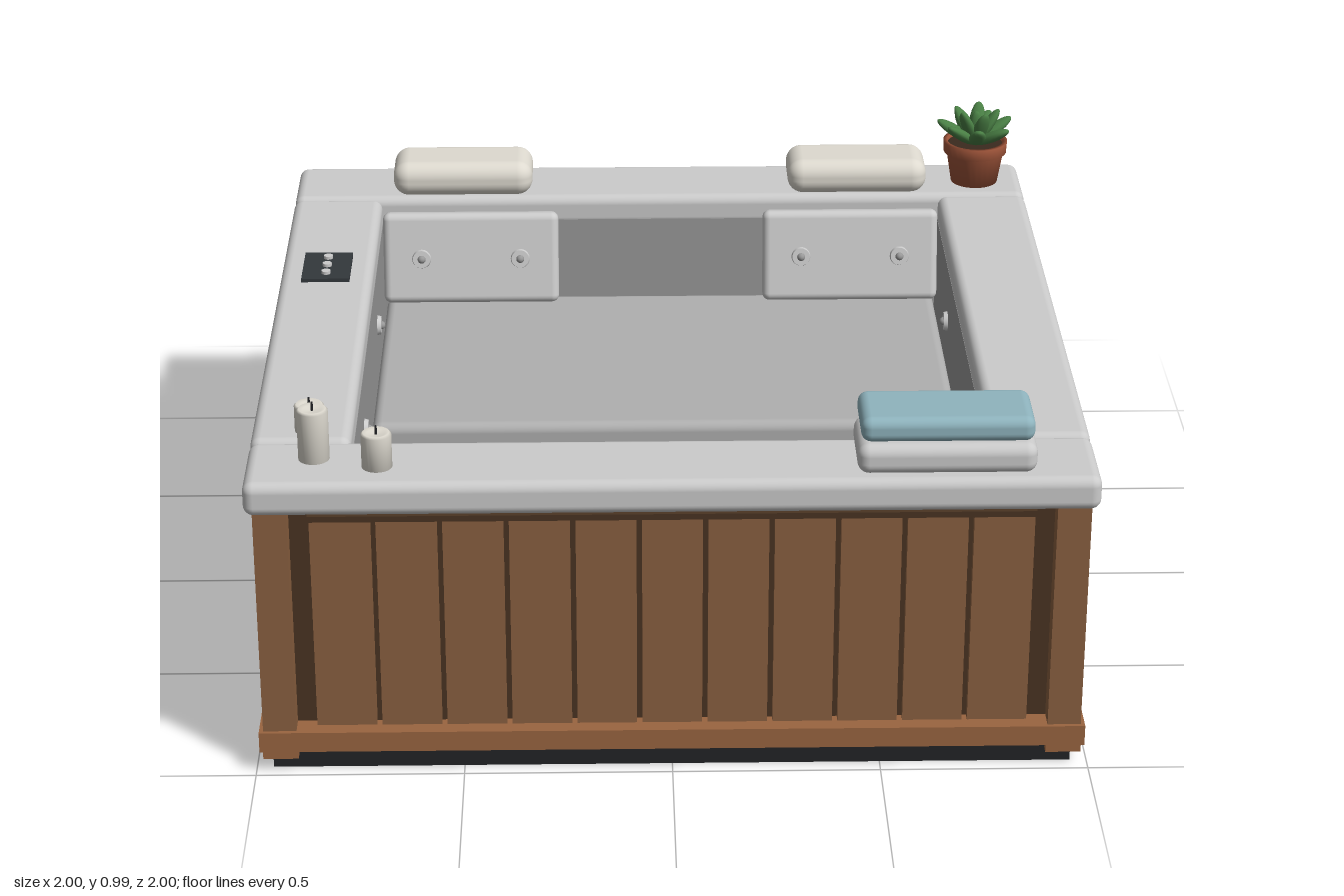
import * as THREE from 'three';
import { RoundedBoxGeometry } from 'three/addons/geometries/RoundedBoxGeometry.js';

const mat = (color) => new THREE.MeshStandardMaterial({ color });
const M = {
  acrylic: mat(0xcccccc), shell: mat(0x999999), floor: mat(0x777777), seat: mat(0xb0b0b0),
  wood: mat(0x8a6040), darkWood: mat(0x4a3422), trim: mat(0x9a6540), black: mat(0x222326),
  panel: mat(0x33383c), cream: mat(0xdedad0), towel: mat(0x8fb4be), clay: mat(0xa0553a),
  soil: mat(0x3a2a1e), leaf: mat(0x4a8045),
};

function add(parent, name, geometry, material, x = 0, y = 0, z = 0) {
  const mesh = new THREE.Mesh(geometry, material);
  mesh.name = name;
  mesh.position.set(x, y, z);
  parent.add(mesh);
  return mesh;
}
const box = (w, h, d) => new THREE.BoxGeometry(w, h, d);
const rbox = (w, h, d, r, s = 4) => new RoundedBoxGeometry(w, h, d, s, r);

function group(parent, name, x = 0, y = 0, z = 0) {
  const g = new THREE.Group();
  g.name = name;
  g.position.set(x, y, z);
  parent.add(g);
  return g;
}

// Domed nozzle in a flat ring, facing +z
function jet(parent, x, y, z, turn = 0) {
  const g = group(parent, 'jet', x, y, z);
  g.rotation.y = turn;
  const ring = add(g, 'jetRing', new THREE.CylinderGeometry(0.024, 0.027, 0.012, 20), M.acrylic);
  ring.rotation.x = Math.PI / 2;
  add(g, 'jetNozzle', new THREE.SphereGeometry(0.011, 12, 8), M.shell, 0, 0, 0.006);
}

function cabinet(root) {
  add(root, 'basePlate', box(1.92, 0.05, 1.92), M.black, 0, 0.025, 0);
  for (let i = 0; i < 4; i++) {
    const side = group(root, 'cabinetSide');
    side.rotation.y = i * Math.PI / 2;
    add(side, 'backing', box(1.84, 0.61, 0.02), M.darkWood, 0, 0.365, 0.92);
    // Eleven boards with narrow grooves between them
    for (let k = 0; k < 11; k++)
      add(side, 'plank', box(0.143, 0.57, 0.025), M.wood, (k - 5) * 0.156, 0.38, 0.94);
    add(side, 'topRail', box(1.71, 0.015, 0.035), M.darkWood, 0, 0.665, 0.94);
    add(side, 'bottomTrim', box(1.98, 0.052, 0.06), M.trim, 0, 0.084, 0.96);
    add(side, 'cornerPost', box(0.08, 0.635, 0.08), M.wood, 0.94, 0.375, 0.94);
    add(side, 'postFoot', box(0.085, 0.024, 0.085), M.trim, 0.94, 0.047, 0.94);
  }
}

function tub(root) {
  // Rim: front and back run full width, sides fit between
  for (const s of [-1, 1]) {
    add(root, 'rimEnd', rbox(2, 0.085, 0.24, 0.025), M.acrylic, 0, 0.733, s * 0.88);
    add(root, 'rimSide', rbox(0.24, 0.085, 1.525, 0.025), M.acrylic, s * 0.88, 0.733, 0);
  }
  // Basin walls and floor
  for (let i = 0; i < 4; i++) {
    const wall = group(root, 'basinSide');
    wall.rotation.y = i * Math.PI / 2;
    add(wall, 'basinWall', box(1.62, 0.43, 0.05), M.shell, 0, 0.495, 0.785);
  }
  add(root, 'basinFloor', box(1.54, 0.04, 1.54), M.floor, 0, 0.3, 0);
  add(root, 'bench', rbox(1.51, 0.2, 0.84, 0.025), M.seat, 0, 0.385, -0.345);

  for (const s of [-1, 1]) {
    // Leaning backrest with two jets
    const rest = group(root, 'backrest', s * 0.52, 0.615, -0.725);
    rest.rotation.x = -0.2;
    add(rest, 'backrestPad', rbox(0.48, 0.25, 0.05, 0.02), M.acrylic);
    for (const x of [-0.135, 0.135]) jet(rest, x, 0, 0.028);
    // Wall jets
    for (const z of [-0.37, 0.27]) jet(root, s * 0.756, 0.57, z, -s * Math.PI / 2);
    jet(root, s * 0.55, 0.39, 0.756, Math.PI);
    add(root, 'headPillow', rbox(0.38, 0.095, 0.18, 0.042, 5), M.cream, s * 0.54, 0.82, -0.85);
  }
}

function controls(root) {
  const g = group(root, 'controlPanel', -0.88, 0.776, -0.273);
  add(g, 'panelPlate', box(0.125, 0.018, 0.175), M.panel);
  for (const z of [-0.05, 0, 0.05])
    add(g, 'button', new THREE.CylinderGeometry(0.012, 0.012, 0.01, 16), M.acrylic, 0, 0.012, z);
}

function candle(root, x, z, r, h) {
  const g = group(root, 'candle', x, 0.772, z);
  const profile = [[0, 0], [r, 0], [r, h - 0.005], [r - 0.005, h], [r * 0.6, h - 0.003], [0, h - 0.006]];
  const body = new THREE.LatheGeometry(profile.map((p) => new THREE.Vector2(...p)), 24);
  add(g, 'candleWax', body, M.cream);
  add(g, 'wick', new THREE.CylinderGeometry(0.003, 0.003, 0.022, 6), M.black, 0, h + 0.005, 0);
}

function plant(root) {
  const g = group(root, 'pottedPlant', 0.87, 0.772, -0.87);
  const profile = [[0, 0], [0.063, 0], [0.078, 0.09], [0.086, 0.09], [0.088, 0.122], [0.077, 0.122], [0.074, 0.1]];
  const pot = new THREE.LatheGeometry(profile.map((p) => new THREE.Vector2(...p)), 28);
  const potMaterial = M.clay.clone();
  potMaterial.side = THREE.DoubleSide;
  add(g, 'pot', pot, potMaterial);
  add(g, 'soil', new THREE.CylinderGeometry(0.075, 0.075, 0.01, 24), M.soil, 0, 0.108, 0);
  // Fleshy leaves: spreading outer ring and steeper inner ring
  const leaf = new THREE.SphereGeometry(1, 12, 10).scale(0.023, 0.062, 0.015).translate(0, 0.06, 0);
  const rings = [[7, 0.98, 1, 0], [5, 0.5, 0.95, 0.4], [1, 0.1, 0.8, 0]];
  for (const [count, tilt, size, offset] of rings)
    for (let i = 0; i < count; i++) {
      const m = add(g, 'leaf', leaf, M.leaf, 0, 0.112, 0);
      m.rotation.set(tilt + 0.08 * (i % 2), offset + i * 2 * Math.PI / count, 0, 'YXZ');
      m.scale.setScalar(size);
    }
}

export function createModel() {
  const root = new THREE.Group();
  root.name = 'hotTub';
  cabinet(root);
  tub(root);
  controls(root);

  // Folded towels stacked on the front rim
  add(root, 'lowerTowel', rbox(0.42, 0.075, 0.195, 0.028), M.acrylic, 0.64, 0.813, 0.88);
  add(root, 'upperTowel', rbox(0.405, 0.062, 0.18, 0.024), M.towel, 0.64, 0.884, 0.877);

  candle(root, -0.86, 0.7, 0.036, 0.072);
  candle(root, -0.84, 0.855, 0.037, 0.133);
  candle(root, -0.69, 0.9, 0.036, 0.092);
  plant(root);
  return root;
}
